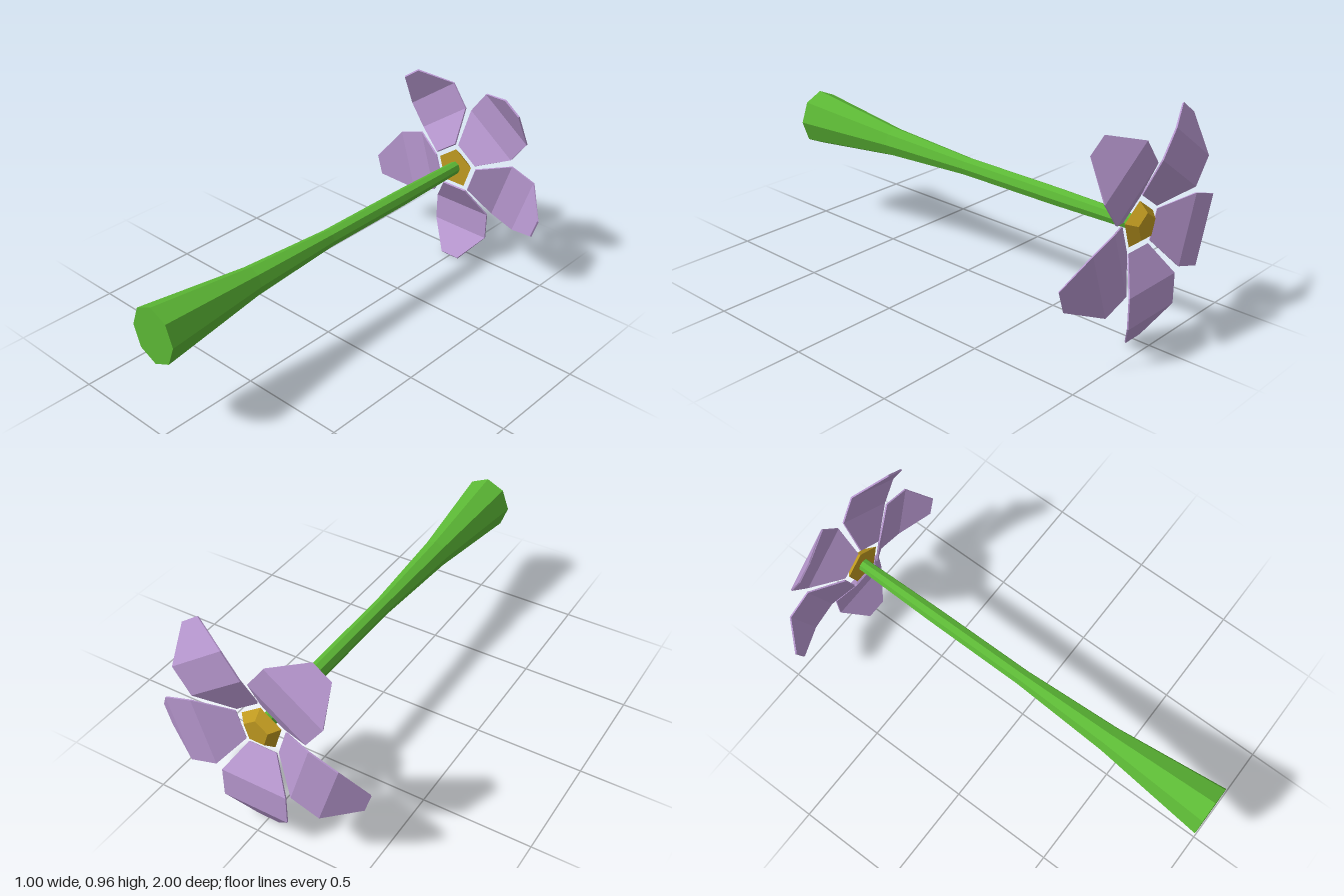
import * as THREE from 'three';

const CENTRE_Y = 0.513;
const paint = (color) => new THREE.MeshStandardMaterial({ color, flatShading: true });

// Folded petal pointing down: a thin four-cornered section swept from root to tip
function petalGeometry() {
  // half width, front [r, z], back [r, z]
  const sections = [
    [0.066, 0.108, -0.915, 0.103, -0.921],
    [0.155, 0.243, -0.993, 0.241, -1.0],
    [0.155, 0.377, -0.993, 0.379, -1.0],
    [0.05, 0.506, -0.915, 0.512, -0.92],
  ].map(([w, rf, zf, rb, zb]) => [[-w, -rf, zf], [w, -rf, zf], [w, -rb, zb], [-w, -rb, zb]]);
  const pos = [];
  const quad = (a, b, c, d) => pos.push(...a, ...b, ...c, ...a, ...c, ...d);
  for (let i = 0; i < sections.length - 1; i++) {
    const s = sections[i], t = sections[i + 1];
    for (let k = 0; k < 4; k++) quad(s[k], t[k], t[(k + 1) % 4], s[(k + 1) % 4]);
  }
  quad(...sections[0]);
  quad(...[...sections[3]].reverse());
  const geo = new THREE.BufferGeometry();
  geo.setAttribute('position', new THREE.Float32BufferAttribute(pos, 3));
  geo.computeVertexNormals();
  return geo;
}

export function createModel() {
  const model = new THREE.Group();
  model.name = 'flower';

  // Flaring eight-sided stem along z, slightly taller than wide
  const profile = [[0, -0.915], [0.033, -0.915], [0.041, -0.5], [0.043, 0], [0.07, 0.47], [0.135, 1], [0, 1]];
  const stemGeo = new THREE.LatheGeometry(profile.map(([r, z]) => new THREE.Vector2(r, z)), 8);
  stemGeo.rotateX(Math.PI / 2).scale(0.89, 1, 1);
  const stem = new THREE.Mesh(stemGeo, paint(0x5cb835));
  stem.name = 'stem';
  stem.position.y = CENTRE_Y;
  model.add(stem);

  // Five-sided centre, tapering towards the back
  const heartGeo = new THREE.CylinderGeometry(0.1, 0.06, 0.04, 5);
  heartGeo.rotateX(Math.PI / 2).rotateZ(Math.PI);
  const heart = new THREE.Mesh(heartGeo, paint(0xc09a20));
  heart.name = 'flowerCentre';
  heart.position.set(0, CENTRE_Y, -0.935);
  model.add(heart);

  // Ring of five petals
  const petals = new THREE.Group();
  petals.name = 'petals';
  petals.position.y = CENTRE_Y;
  const geo = petalGeometry(), lilac = paint(0xb898d0);
  for (let i = 0; i < 5; i++) {
    const petal = new THREE.Mesh(geo, lilac);
    petal.name = 'petal' + (i + 1);
    petal.rotation.z = (i * Math.PI * 2) / 5;
    petals.add(petal);
  }
  model.add(petals);
  return model;
}
